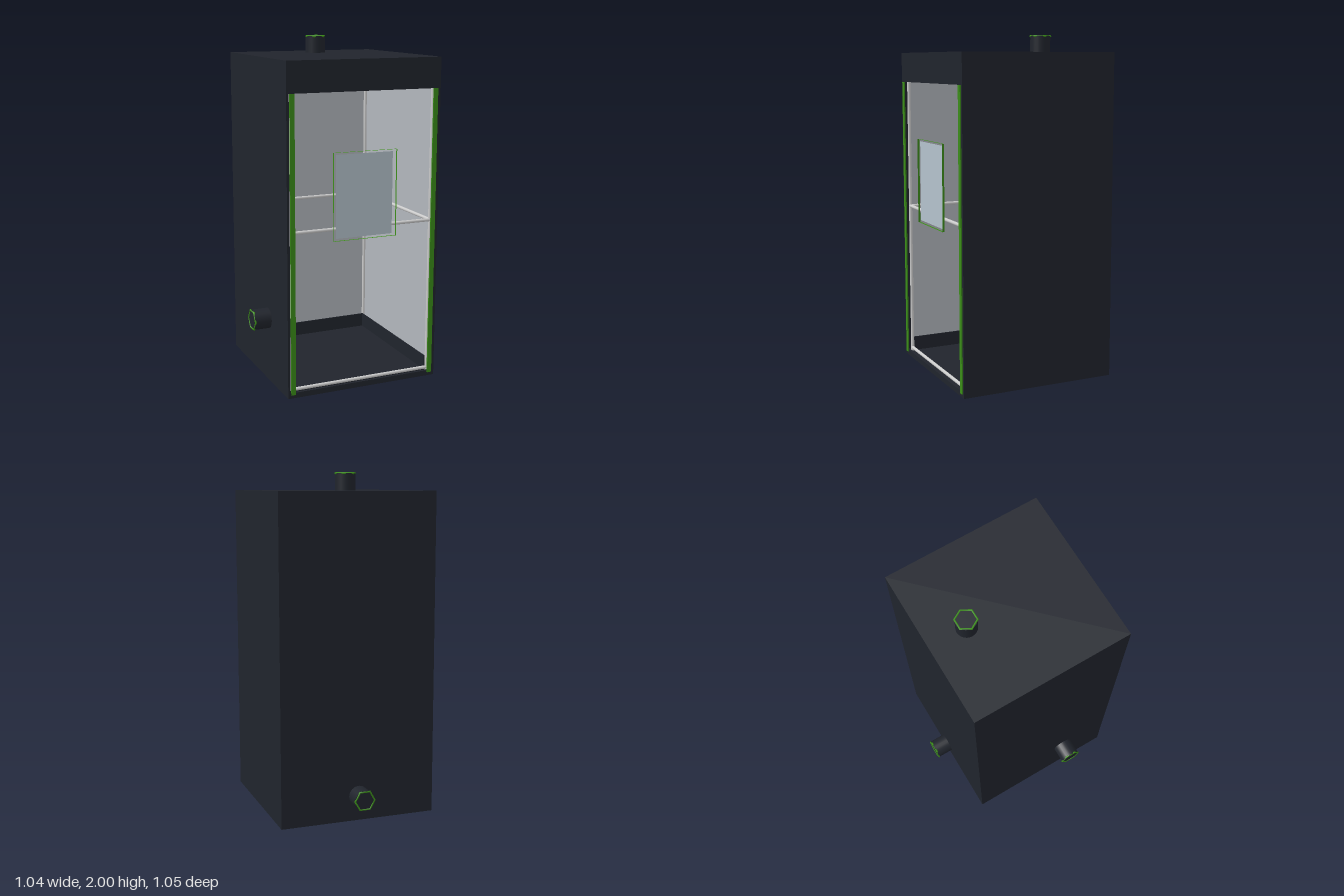
import * as THREE from 'three';

const shell = new THREE.MeshStandardMaterial({ color: 0x20242c });
const green = new THREE.MeshStandardMaterial({ color: 0x3a8c18 });
const greenThin = new THREE.MeshStandardMaterial({ color: 0x3a8c18, side: THREE.DoubleSide });
const lining = new THREE.MeshStandardMaterial({ color: 0xb2b6bc });
const metal = new THREE.MeshStandardMaterial({ color: 0xcccccc });
const glass = new THREE.MeshStandardMaterial({ color: 0xb4c2cc, side: THREE.DoubleSide });

// Box given by its minimum and maximum corners
function box(parent, name, mat, [x0, y0, z0], [x1, y1, z1]) {
  const m = new THREE.Mesh(new THREE.BoxGeometry(x1 - x0, y1 - y0, z1 - z0), mat);
  m.position.set((x0 + x1) / 2, (y0 + y1) / 2, (z0 + z1) / 2);
  m.name = name;
  parent.add(m);
}

// Round pole between two points
function pole(parent, a, b) {
  const from = new THREE.Vector3(...a), to = new THREE.Vector3(...b);
  const dir = to.clone().sub(from);
  const m = new THREE.Mesh(new THREE.CylinderGeometry(0.01, 0.01, dir.length(), 12), metal);
  m.position.copy(from).add(to).multiplyScalar(0.5);
  m.quaternion.setFromUnitVectors(new THREE.Vector3(0, 1, 0), dir.normalize());
  m.name = 'pole';
  parent.add(m);
}

// Duct port pointing along local +z, with a six-sided rim
function duct(name, position, rx, ry) {
  const g = new THREE.Group();
  g.name = name;
  const tube = new THREE.Mesh(new THREE.CylinderGeometry(0.06, 0.06, 0.1, 24), shell);
  tube.rotation.x = Math.PI / 2;
  tube.position.z = 0.05;
  tube.name = 'ductTube';
  const rim = new THREE.Mesh(new THREE.TorusGeometry(0.06, 0.006, 8, 6), green);
  rim.position.z = 0.098;
  rim.name = 'ductRim';
  g.add(tube, rim);
  g.position.set(...position);
  g.rotation.set(rx, ry, 0);
  return g;
}

export function createModel() {
  const model = new THREE.Group();
  const lo = -0.42, hi = 0.52, t = 0.015, top = 1.9;

  // Outer cabinet with an open front
  const body = new THREE.Group();
  body.name = 'cabinet';
  box(body, 'floor', shell, [lo, 0, lo], [hi, 0.02, hi]);
  box(body, 'roof', shell, [lo, top - t, lo], [hi, top, hi]);
  box(body, 'backWall', shell, [lo, 0.02, lo], [hi, top - t, lo + t]);
  box(body, 'rightWall', shell, [lo, 0.02, lo + t], [lo + t, top - t, hi]);
  box(body, 'leftWall', shell, [hi - t, 0.02, lo + t], [hi, top - t, hi]);
  box(body, 'frontHeader', shell, [lo + t, 1.725, hi - t], [hi - t, top - t, hi]);
  box(body, 'frontSill', shell, [lo + t, 0.02, hi - t], [hi - t, 0.032, hi]);
  model.add(body);

  // Pale lining on the inner faces
  const a = lo + t, b = hi - t, e = 0.004;
  box(model, 'backLining', lining, [a, 0.02, a], [b, top - t, a + e]);
  box(model, 'rightLining', lining, [a, 0.02, a + e], [a + e, top - t, b - t]);
  box(model, 'leftLining', lining, [b - e, 0.02, a + e], [b, top - t, b - t]);
  box(model, 'ceilingLining', lining, [a + e, top - t - e, a + e], [b - e, top - t, b - t]);

  // Spill tray, open towards the front
  const tray = new THREE.Group();
  tray.name = 'tray';
  const p = -0.38, q = 0.48;
  box(tray, 'trayFloor', shell, [p, 0.02, p], [q, 0.025, q]);
  box(tray, 'trayBack', shell, [p, 0.02, p], [q, 0.112, p + 0.006]);
  box(tray, 'traySide', shell, [p, 0.02, p], [p + 0.006, 0.112, q]);
  box(tray, 'traySide', shell, [q - 0.006, 0.02, p], [q, 0.112, q]);
  model.add(tray);

  // Pole frame: four uprights and three rings
  const frame = new THREE.Group();
  frame.name = 'poleFrame';
  const m = -0.388, n = 0.488;
  const corners = [[m, m], [n, m], [n, n], [m, n]];
  corners.forEach(([x, z], i) => {
    const [x2, z2] = corners[(i + 1) % 4];
    pole(frame, [x, 0.02, z], [x, 1.87, z]);
    for (const y of [0.04, 0.955, 1.865]) pole(frame, [x, y, z], [x2, y, z2]);
  });
  model.add(frame);

  // Zip strips at both sides of the opening
  for (const s of [-1, 1]) {
    const x = 0.05 + s * 0.438;
    box(model, 'zipStrip', green, [x - 0.014, 0.02, 0.518], [x + 0.014, 1.725, 0.525]);
  }

  // Window pane inside a thin edge band
  const win = new THREE.Group();
  win.name = 'window';
  const pane = new THREE.Mesh(new THREE.PlaneGeometry(0.35, 0.475), glass);
  pane.position.set(0.048, 1.143, 0.516);
  pane.name = 'pane';
  win.add(pane);
  for (let i = 0; i < 4; i++) {
    const upright = i % 2 === 1, s = i < 2 ? 1 : -1;
    const edge = new THREE.Mesh(new THREE.PlaneGeometry(upright ? 0.5 : 0.39, 0.012), greenThin);
    edge.rotation.set(-Math.PI / 2, upright ? Math.PI / 2 : 0, 0);
    edge.position.set(0.05 + (upright ? s * 0.195 : 0), 1.143 + (upright ? 0 : s * 0.25), 0.521);
    // Turn upright bands so their length runs along y
    if (upright) edge.rotation.set(0, Math.PI / 2, Math.PI / 2);
    edge.name = 'windowEdge';
    win.add(edge);
  }
  model.add(win);

  // Duct ports on the roof, back and right side
  model.add(duct('roofDuct', [0.05, top, -0.192], -Math.PI / 2, 0));
  model.add(duct('backDuct', [0.05, 0.147, lo], 0, Math.PI));
  model.add(duct('sideDuct', [lo, 0.385, 0.203], 0, -Math.PI / 2));

  return model;
}
